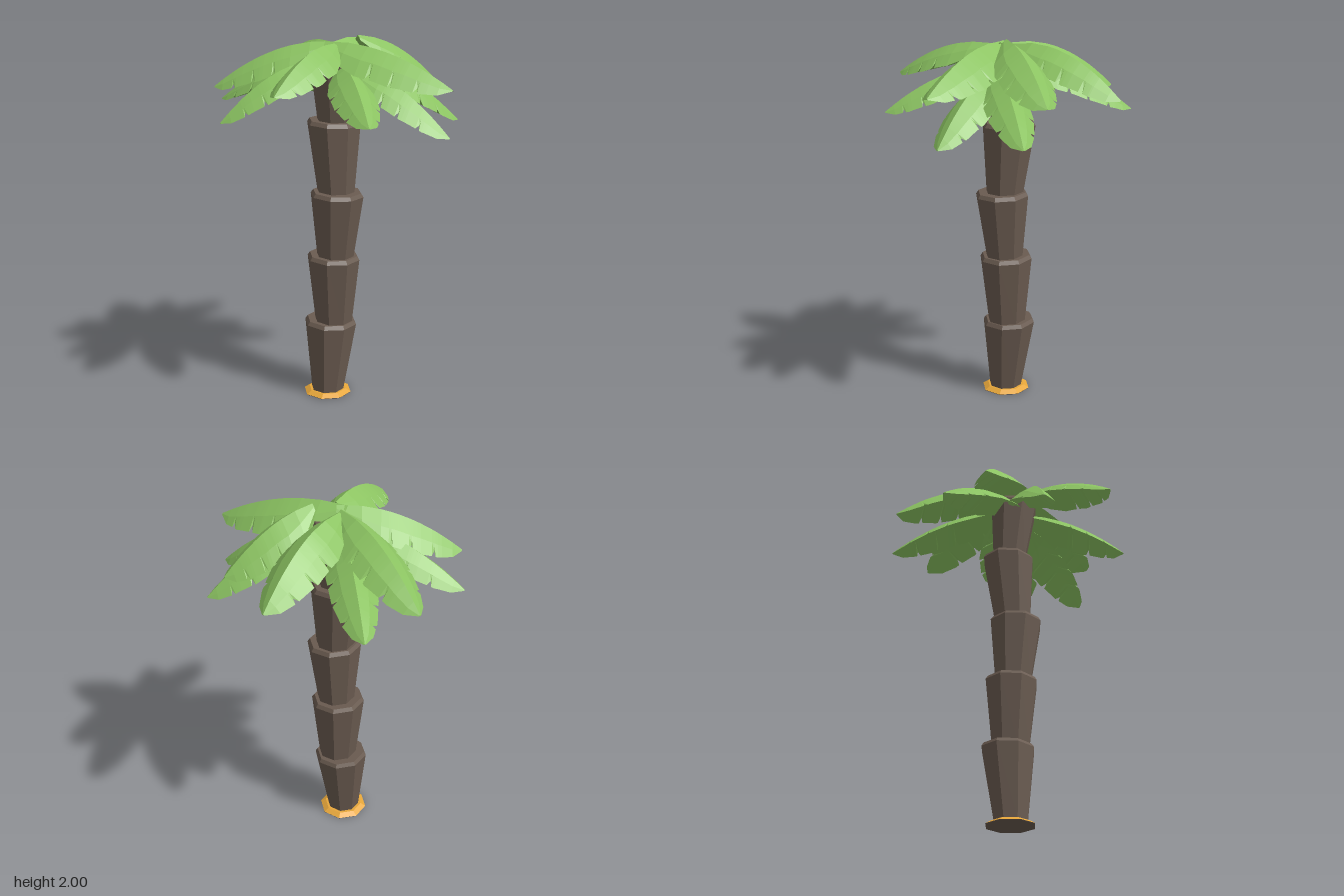
import * as THREE from 'three';

const mat = (color) => new THREE.MeshStandardMaterial({ color, flatShading: true });

// Half-width of a leaf along its length, as [t, width] knots
const OUTLINE = [[0, 0.03], [0.2, 0.11], [0.35, 0.14], [0.6, 0.135], [0.8, 0.1], [0.92, 0.06], [1, 0.006]];
const NOTCHES = { 1: [0.46, 0.63, 0.8], [-1]: [0.41, 0.57, 0.75] };

function leafWidth(t) {
  for (let i = 1; i < OUTLINE.length; i++) {
    const [t0, w0] = OUTLINE[i - 1], [t1, w1] = OUTLINE[i];
    if (t <= t1) return w0 + (w1 - w0) * (t - t0) / (t1 - t0);
  }
  return 0;
}

// Arched leaf with a roof-like cross-section and small cuts along both edges
function leafGeometry(base, tip, archY, scale, shift) {
  const a = new THREE.Vector3(...base), c = new THREE.Vector3(...tip);
  const b = a.clone().lerp(c, 0.5).setY(archY);
  const spine = new THREE.QuadraticBezierCurve3(a, b, c);
  const side = new THREE.Vector3(c.z - a.z, 0, a.x - c.x).normalize();

  const stations = OUTLINE.map((k) => k[0]);
  const cuts = { 1: [], [-1]: [] };
  for (const s of [1, -1]) {
    for (const n of NOTCHES[s]) {
      const t = n + shift;
      cuts[s].push(t);
      stations.push(t - 0.02, t, t + 0.012);
    }
  }
  stations.sort((p, q) => p - q);

  const rings = stations.map((t) => {
    const p = spine.getPoint(t), w = leafWidth(t) * scale;
    const at = (u, drop) => [p.x + side.x * u, p.y - drop, p.z + side.z * u];
    const edge = (s) => {
      const e = w * (cuts[s].includes(t) ? 0.77 : 1);
      return at(s * e, e * 0.85);
    };
    return [edge(1), at(w * 0.55, w * 0.38), at(0, 0), at(-w * 0.55, w * 0.38), edge(-1), at(0, 0.15 * w + 0.003)];
  });

  const pos = [], n = 6;
  const tri = (...pts) => pts.forEach((p) => pos.push(...p));
  for (let k = 0; k < rings.length - 1; k++) {
    const r = rings[k], q = rings[k + 1];
    for (let i = 0; i < n; i++) {
      const j = (i + 1) % n;
      tri(r[i], r[j], q[j]);
      tri(r[i], q[j], q[i]);
    }
  }
  const first = rings[0], last = rings[rings.length - 1];
  for (let i = 0; i < 4; i++) {
    tri(first[5], first[i + 1], first[i]);
    tri(last[5], last[i], last[i + 1]);
  }
  const g = new THREE.BufferGeometry();
  g.setAttribute('position', new THREE.Float32BufferAttribute(pos, 3));
  g.computeVertexNormals();
  return g;
}

// Eight-sided trunk piece, widening upward to a bevelled rim and leaning between two centres
function trunkGeometry([x0, y0, z0, r0], [x1, y1, z1, r1]) {
  const h = y1 - y0;
  const profile = [[0, 0], [r0, 0], [r1, h - 0.02], [r1 * 0.91, h], [0, h]].map((p) => new THREE.Vector2(...p));
  const g = new THREE.LatheGeometry(profile, 8, Math.PI / 8);
  const p = g.attributes.position;
  for (let i = 0; i < p.count; i++) {
    const f = p.getY(i) / h;
    const tilt = f > 0.9 ? -p.getX(i) * 0.04 : 0;
    p.setXYZ(i, p.getX(i) + x0 + (x1 - x0) * f, p.getY(i) + y0 + tilt, p.getZ(i) + z0 + (z1 - z0) * f);
  }
  g.computeVertexNormals();
  return g;
}

export function createModel() {
  const model = new THREE.Group();
  const bark = mat(0x6a5b50), sand = mat(0xe6a63a), green = mat(0x8cc462);
  const add = (parent, name, geometry, material) => {
    const m = new THREE.Mesh(geometry, material);
    m.name = name;
    parent.add(m);
    return m;
  };

  // Foot: dark underside and a bevelled ring of sand
  const foot = new THREE.Group();
  foot.name = 'foot';
  foot.position.set(-0.052, 0, 0.043);
  add(foot, 'footUnderside', new THREE.CylinderGeometry(0.134, 0.132, 0.003, 8), bark).position.y = 0.0015;
  add(foot, 'sandRing', new THREE.CylinderGeometry(0.105, 0.134, 0.017, 8), sand).position.y = 0.0115;
  foot.children.forEach((m) => { m.rotation.y = Math.PI / 8; });
  model.add(foot);

  // Trunk: stacked flaring pieces, each [x, y, z, radius] at bottom and top
  const trunk = new THREE.Group();
  trunk.name = 'trunk';
  const pieces = [
    [[-0.05, 0.01, 0.045, 0.09], [-0.047, 0.43, 0.018, 0.146]],
    [[-0.027, 0.42, 0.018, 0.104], [-0.025, 0.81, 0.022, 0.146]],
    [[-0.012, 0.8, 0.022, 0.102], [0.004, 1.17, 0.027, 0.146]],
    [[-0.01, 1.16, 0.018, 0.102], [-0.034, 1.553, 0.006, 0.146]],
    [[-0.026, 1.54, 0.006, 0.094], [-0.012, 1.9, 0.03, 0.135]],
  ];
  for (const [lo, hi] of pieces) add(trunk, 'trunkPiece', trunkGeometry(lo, hi), bark);
  model.add(trunk);

  // Crown: [base, tip, height of the arch, width scale]
  const crown = new THREE.Group();
  crown.name = 'crown';
  const upper = [
    [[-0.045, 1.96, 0.0], [-0.057, 1.73, -0.67], 2.03, 1],
    [[0.075, 2.0, -0.06], [0.31, 1.72, -0.486], 1.98, 1],
    [[-0.05, 1.97, 0.065], [0.665, 1.77, -0.035], 1.995, 1.1],
    [[-0.04, 1.965, 0.02], [-0.645, 1.7, -0.24], 2.0, 1],
    [[0.0, 1.97, 0.04], [-0.545, 1.73, 0.37], 1.99, 1],
    [[0.025, 1.965, 0.075], [0.1, 1.775, 0.66], 1.99, 0.9],
  ];
  const lower = [
    [[0.1, 1.85, 0.0], [0.455, 1.54, -0.455], 1.84, 0.85],
    [[0.05, 1.84, 0.0], [0.635, 1.52, -0.07], 1.83, 0.9],
    [[0.05, 1.86, 0.05], [0.48, 1.63, 0.42], 1.86, 0.85],
    [[-0.02, 1.88, 0.1], [-0.325, 1.59, 0.575], 1.9, 0.85],
    [[0.0, 1.88, 0.06], [-0.665, 1.63, 0.18], 1.9, 0.85],
    [[-0.06, 1.86, 0.0], [-0.486, 1.61, -0.47], 1.87, 0.85],
  ];
  const leaves = (list, name) => list.forEach(([base, tip, arch, scale], i) =>
    add(crown, name, leafGeometry(base, tip, arch, scale, (i % 3) * 0.02), green));
  leaves(upper, 'upperLeaf');
  leaves(lower, 'lowerLeaf');
  model.add(crown);

  return model;
}
